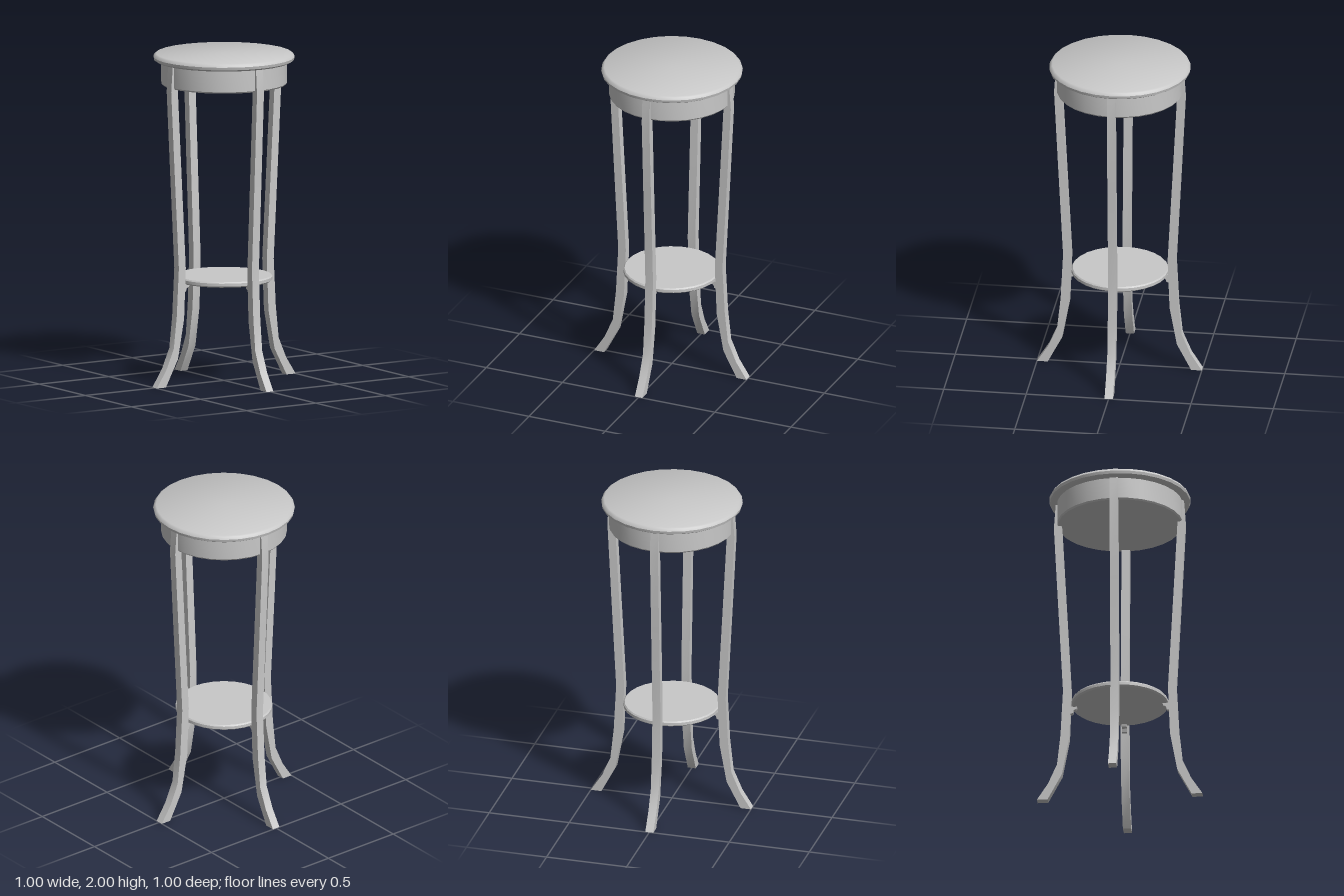
import * as THREE from 'three';
import { toCreasedNormals } from 'three/addons/utils/BufferGeometryUtils.js';

const points = (list) => list.map(([x, y]) => new THREE.Vector2(x, y));

export function createModel() {
  const model = new THREE.Group();
  model.name = 'plantStand';
  const wood = new THREE.MeshStandardMaterial({ color: 0xc8c8c8 });
  wood.name = 'pale grey';

  const add = (parent, name, geometry) => {
    const mesh = new THREE.Mesh(toCreasedNormals(geometry, 0.6), wood);
    mesh.name = name;
    parent.add(mesh);
    return mesh;
  };
  // Round part turned from a bottom-to-top profile
  const turned = (name, profile) => add(model, name, new THREE.LatheGeometry(points(profile), 28));
  // Flat outline given a thickness centred on z = 0
  const plank = (parent, name, outline, width) => {
    const geometry = new THREE.ExtrudeGeometry(new THREE.Shape(points(outline)), { depth: width, bevelEnabled: false });
    geometry.translate(0, 0, -width / 2);
    return add(parent, name, geometry);
  };

  // Table top with a moulded edge, and the drum below it
  turned('tableTop', [[0, 1.953], [0.405, 1.953], [0.422, 1.963], [0.426, 1.98], [0.418, 1.994], [0.408, 2], [0, 2]]);
  turned('apron', [[0, 1.813], [0.372, 1.813], [0.379, 1.822], [0.379, 1.955], [0, 1.955]]);

  // Lower shelf
  turned('shelf', [[0, 0.616], [0.282, 0.616], [0.292, 0.624], [0.292, 0.642], [0.285, 0.65], [0, 0.65]]);

  // Four splayed legs, each with a small bracket under the shelf
  const legOutline = [
    [0.435, 0.005], [0.5, 0.005], [0.432, 0.11], [0.378, 0.235], [0.357, 0.43], [0.342, 0.72],
    [0.372, 1.3], [0.397, 1.8], [0.386, 1.954],
    [0.358, 1.954], [0.349, 1.8], [0.323, 1.3], [0.292, 0.72], [0.304, 0.41], [0.348, 0.17],
  ];
  const bracketOutline = [[0.3, 0.57], [0.3, 0.62], [0.257, 0.62], [0.262, 0.602], [0.278, 0.594], [0.284, 0.575]];
  for (let i = 0; i < 4; i++) {
    const side = new THREE.Group();
    side.name = 'legAssembly';
    side.rotation.y = (i * Math.PI) / 2;
    plank(side, 'leg', legOutline, 0.05);
    plank(side, 'shelfBracket', bracketOutline, 0.03);
    model.add(side);
  }
  return model;
}
